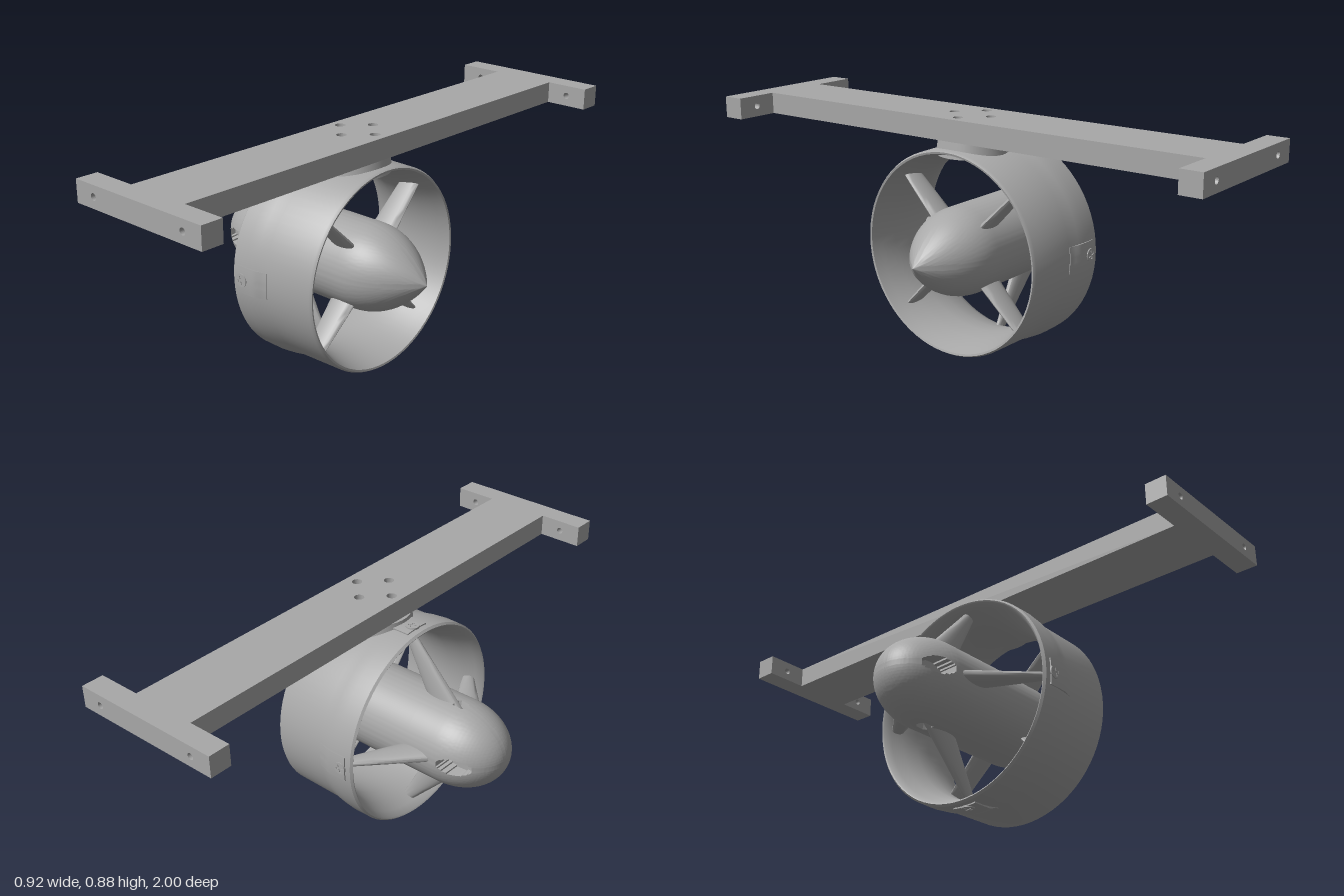
import * as THREE from 'three';
import { toCreasedNormals } from 'three/addons/utils/BufferGeometryUtils.js';

const grey = new THREE.MeshStandardMaterial({ color: 0xa8a8a8 });
grey.name = 'plain grey';

const CY = 0.395, CZ = 0.055; // height and depth of the thruster axis
const lerp = THREE.MathUtils.lerp;

function add(parent, name, geometry) {
  const mesh = new THREE.Mesh(geometry, grey);
  mesh.name = name;
  parent.add(mesh);
  return mesh;
}

// Move every vertex of a geometry by a rule
function reshape(geometry, rule, crease = 0.6) {
  const p = geometry.attributes.position, v = new THREE.Vector3();
  for (let i = 0; i < p.count; i++) {
    rule(v.fromBufferAttribute(p, i));
    p.setXYZ(i, v.x, v.y, v.z);
  }
  return toCreasedNormals(geometry, crease);
}

// Turned shape around the x axis from [x, radius] pairs
function turned(profile, segments) {
  const pts = profile.map(([x, r]) => new THREE.Vector2(r, x));
  return new THREE.LatheGeometry(pts, segments).rotateZ(-Math.PI / 2);
}

function circle(x, y, r) {
  return new THREE.Path().absarc(x, y, r, 0, Math.PI * 2, true);
}

function plate(x0, x1, y0, y1, depth, holes) {
  const s = new THREE.Shape([[x0, y0], [x1, y0], [x1, y1], [x0, y1]].map(p => new THREE.Vector2(...p)));
  s.holes = holes.map(h => circle(...h));
  return new THREE.ExtrudeGeometry(s, { depth, bevelEnabled: false, curveSegments: 20 });
}

// Tapered oval strut: [radius, x centre, chord, thickness] at root and tip
function strutGeometry(root, tip) {
  return reshape(new THREE.CylinderGeometry(1, 1, 1, 20, 6), v => {
    const [r, cx, chord, thick] = root.map((a, i) => lerp(a, tip[i], v.y + 0.5));
    v.set(cx + v.x * chord / 2, r, v.z * thick / 2);
  }, 0.9);
}

function screwGeometry() {
  const s = new THREE.Shape().absarc(0, 0, 0.024, 0, Math.PI * 2);
  const a = 0.004, b = 0.016; // cross slot
  const cross = [[a, a], [a, b], [-a, b], [-a, a], [-b, a], [-b, -a], [-a, -a], [-a, -b], [a, -b], [a, -a], [b, -a], [b, a]];
  s.holes.push(new THREE.Path(cross.map(p => new THREE.Vector2(...p))));
  return new THREE.ExtrudeGeometry(s, { depth: 0.007, bevelEnabled: false, curveSegments: 20 })
    .rotateX(-Math.PI / 2).rotateZ(0).rotateY(0.3).translate(-0.04, 0.388, 0);
}

function buildBracket() {
  const g = new THREE.Group();
  g.name = 'mountingBracket';
  const bolts = [[0.05, 0.05], [0.21, 0.05], [0.13, -0.03], [0.13, 0.13]];
  add(g, 'bracketPlate', plate(0.01, 0.255, -0.92, 0.92, 0.078, bolts.map(([x, z]) => [x, -z, 0.018]))
    .rotateX(-Math.PI / 2).translate(0, 0.798, 0));
  for (const z of [-1, 0.92]) {
    const bar = plate(-0.155, 0.415, 0.798, 0.876, 0.08, [[-0.072, 0.837, 0.012], [0.335, 0.837, 0.012]]);
    add(g, 'bracketEndBar', bar.translate(0, 0, z));
  }
  for (const [x, z] of bolts) {
    add(g, 'bracketBolt', new THREE.CylinderGeometry(0.011, 0.011, 0.07, 16)).position.set(x, 0.825, z);
  }
  return g;
}

function buildThruster() {
  const g = new THREE.Group();
  g.name = 'thruster';
  g.position.set(0, CY, CZ);

  // Duct: outer skin, then the flared inner wall back to the start
  const duct = [[-0.09, 0.38], [-0.082, 0.387], [-0.02, 0.388], [0.02, 0.384], [0.065, 0.376], [0.26, 0.373],
    [0.27, 0.367], [0.268, 0.36], [0.23, 0.348], [0.17, 0.333], [0.1, 0.325], [0.04, 0.328],
    [-0.02, 0.345], [-0.06, 0.362], [-0.086, 0.374], [-0.09, 0.38]];
  add(g, 'duct', toCreasedNormals(turned(duct, 72), 0.6));

  // Body: round nose, straight barrel and pointed tail
  const body = [];
  for (let i = 0; i <= 48; i++) {
    const a = i / 48 * Math.PI / 2;
    body.push([-0.25 - 0.21 * Math.cos(a), Math.max(0.0005, 0.16 * Math.sin(a))]);
  }
  for (let x = -0.24; x < -0.13; x += 0.01) body.push([x, 0.16]);
  for (let i = 0; i <= 16; i++) {
    const t = i / 16;
    body.push([0.18 + 0.275 * t, Math.max(0.0005, 0.16 * (1 - t ** 2.2))]);
  }
  // Ports sunk into the nose: long ones at the sides, short ones above and below
  add(g, 'body', reshape(turned(body, 144), v => {
    const side = ((v.x + 0.338) / 0.06) ** 2 + (v.y / 0.027) ** 2 < 1;
    const top = ((v.x + 0.265) / 0.025) ** 2 + (v.z / 0.02) ** 2 < 1;
    if (side) v.z = THREE.MathUtils.clamp(v.z, -0.095, 0.095);
    if (top) v.y = THREE.MathUtils.clamp(v.y, -0.13, 0.13);
  }, 0.5));

  const strut = strutGeometry([0.135, -0.195, 0.15, 0.05], [0.375, -0.02, 0.045, 0.022]);
  const vane = strutGeometry([0.12, 0.17, 0.11, 0.036], [0.345, 0.17, 0.08, 0.024]);
  // Clip curved to the duct and fading into it
  const clip = reshape(new THREE.BoxGeometry(0.125, 1, 0.1, 10, 1, 10), v => {
    const x = v.x + 0.0025;
    const r = v.y > 0 ? 0.392 - 0.014 * THREE.MathUtils.smoothstep(x, 0.01, 0.065) : 0.368;
    const a = v.z / 0.39;
    v.set(x, r * Math.cos(a), r * Math.sin(a));
  });
  const screw = screwGeometry();
  for (let i = 0; i < 4; i++) {
    const a = i * Math.PI / 2;
    add(g, 'sweptStrut', strut).rotation.x = a;
    add(g, 'strutClip', clip).rotation.x = a;
    add(g, 'clipScrew', screw).rotation.x = a;
    add(g, 'ductVane', vane).rotation.x = a + Math.PI / 4;
  }
  return g;
}

export function createModel() {
  const model = new THREE.Group();
  model.name = 'ductedThruster';
  model.add(buildBracket(), buildThruster());
  // Round saddle joining the duct to the bracket
  add(model, 'mountPad', new THREE.CylinderGeometry(0.122, 0.132, 0.062, 48)).position.set(0.12, 0.768, CZ);
  return model;
}
